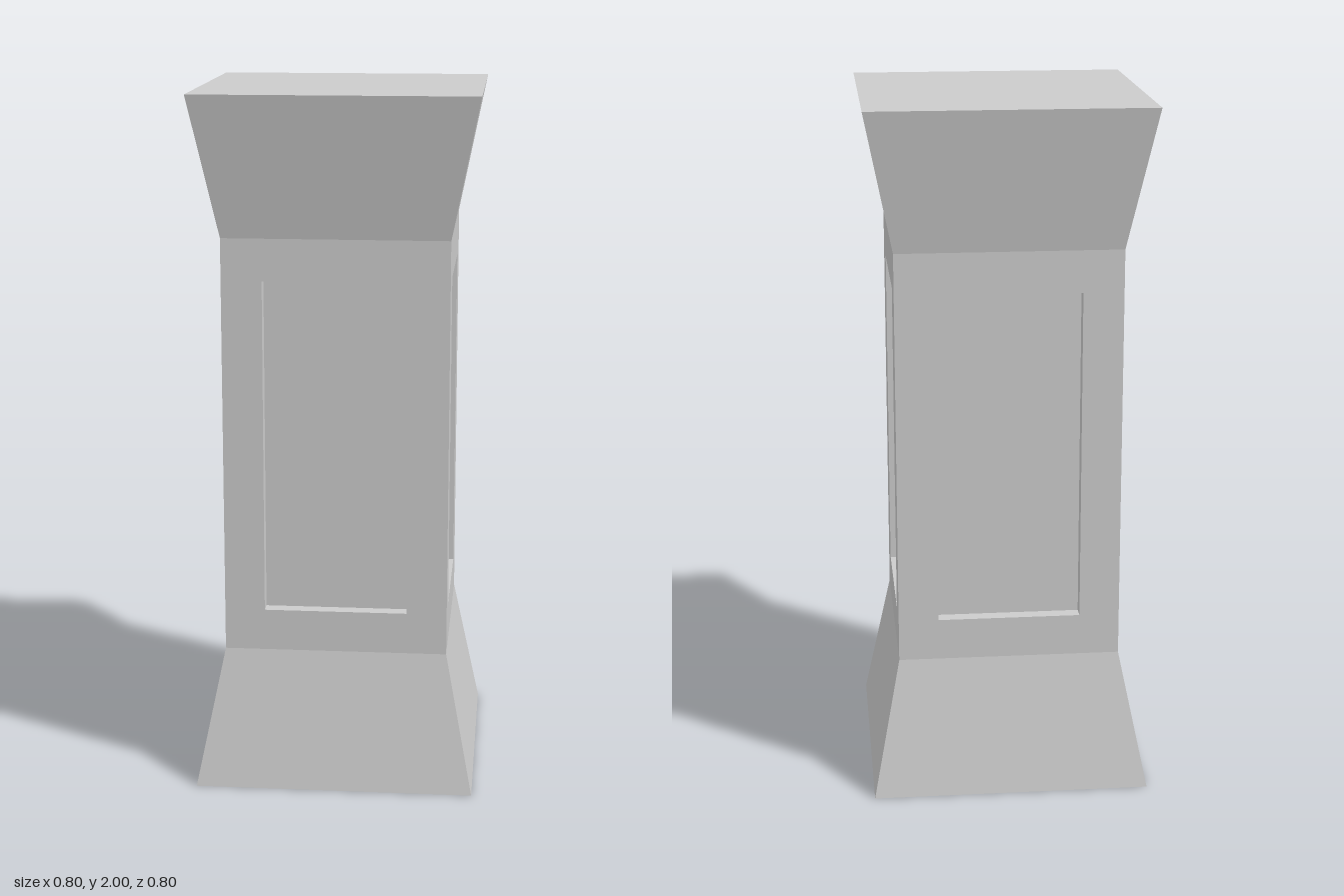
import * as THREE from 'three';

const BASE = 0.4, NECK = 0.32;            // half-widths of the ends and the shaft
const Y1 = 0.4, Y2 = 1.6, TOP = 2;        // shaft bottom, shaft top, full height
const PW = 0.205, P1 = 0.52, P2 = 1.48;   // panel half-width, bottom and top
const DEPTH = 0.04;

const material = new THREE.MeshStandardMaterial({
  color: 0xcccccc, flatShading: true, side: THREE.DoubleSide,
});

function mesh(name, geometry) {
  const m = new THREE.Mesh(geometry, material);
  m.name = name;
  return m;
}

// Open four-sided tapered ring, aligned with the axes
function flare(name, rTop, rBottom, y1, y2) {
  const g = new THREE.CylinderGeometry(
    rTop * Math.SQRT2, rBottom * Math.SQRT2, y2 - y1, 4, 1, true);
  g.rotateY(Math.PI / 4).translate(0, (y1 + y2) / 2, 0);
  return mesh(name, g);
}

// One shaft face with a sunken rectangular panel, facing +z
function shaftSide() {
  const side = new THREE.Group();
  side.name = 'shaftSide';

  const rect = (w, y1, y2) => [[-w, y1], [w, y1], [w, y2], [-w, y2]]
    .map(([x, y]) => new THREE.Vector2(x, y));
  const shape = new THREE.Shape(rect(NECK, Y1, Y2));
  shape.holes.push(new THREE.Path(rect(PW, P1, P2).reverse()));
  side.add(mesh('shaftFace', new THREE.ShapeGeometry(shape).translate(0, 0, NECK)));

  const h = P2 - P1, mid = (P1 + P2) / 2, z = NECK - DEPTH / 2;
  side.add(mesh('recessedPanel',
    new THREE.PlaneGeometry(2 * PW, h).translate(0, mid, NECK - DEPTH)));

  // Reveals around the panel, facing inwards
  for (const s of [-1, 1]) {
    side.add(mesh('sideReveal', new THREE.PlaneGeometry(DEPTH, h)
      .rotateY(-s * Math.PI / 2).translate(s * PW, mid, z)));
    side.add(mesh('endReveal', new THREE.PlaneGeometry(2 * PW, DEPTH)
      .rotateX(s * Math.PI / 2).translate(0, mid + s * h / 2, z)));
  }
  return side;
}

export function createModel() {
  const model = new THREE.Group();
  model.name = 'pillar';

  // Hollow base, open underneath
  model.add(flare('base', NECK, BASE, 0, Y1));

  // Four identical shaft faces
  for (let i = 0; i < 4; i++) {
    const side = shaftSide();
    side.rotation.y = i * Math.PI / 2;
    model.add(side);
  }

  // Flared capital with a flat top
  model.add(flare('capital', BASE, NECK, Y2, TOP));
  model.add(mesh('top', new THREE.PlaneGeometry(2 * BASE, 2 * BASE)
    .rotateX(-Math.PI / 2).translate(0, TOP, 0)));

  return model;
}
